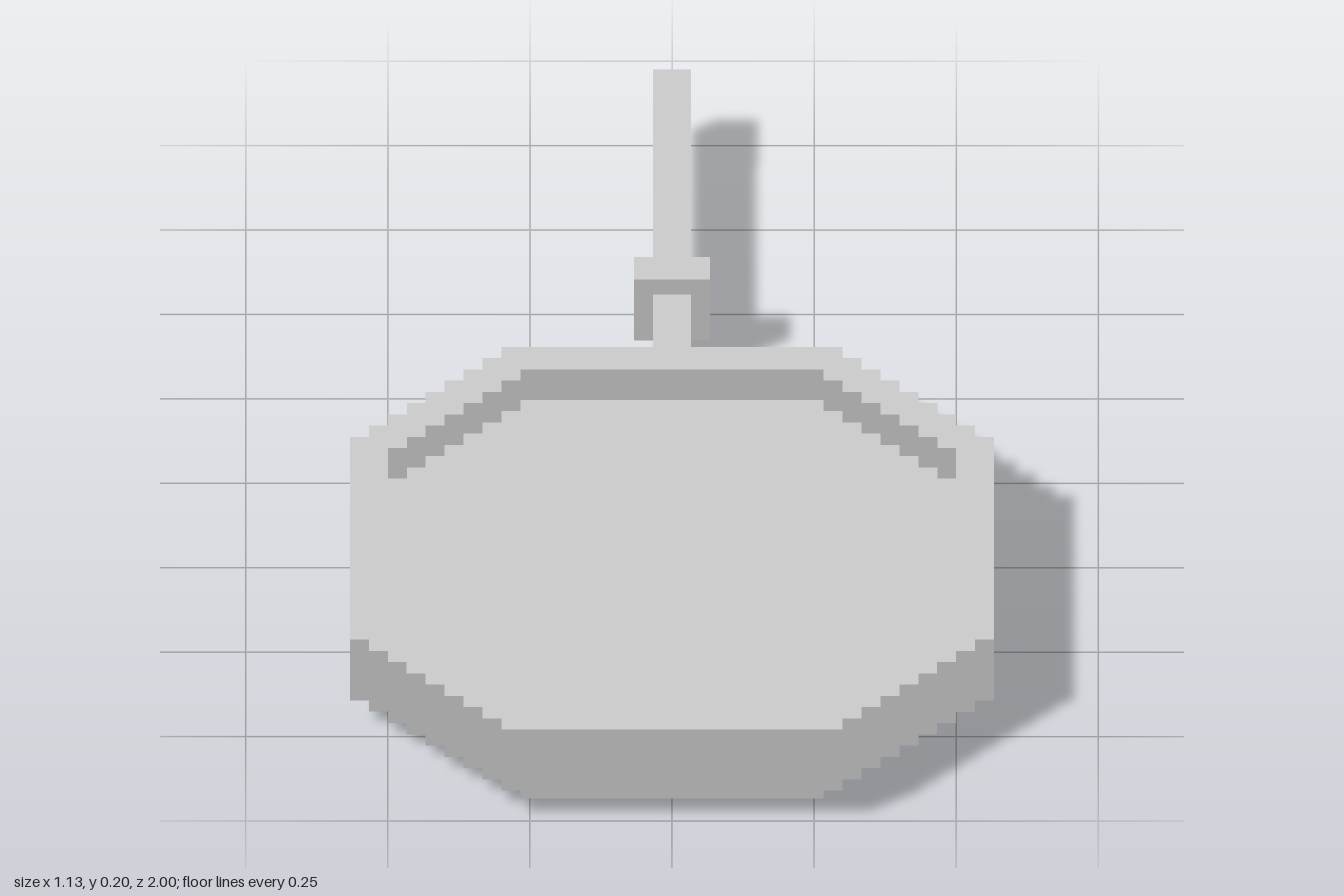
import * as THREE from 'three';

const U = 1 / 30; // one block
const PAN_Z = 13 * U; // centre of the pan

// Corners of an octagon whose diagonal sides are one-block stair steps
function steppedOctagon(radius, flat) {
  const points = [];
  for (let q = 0; q < 4; q++) {
    const turn = (x, y) => {
      for (let i = 0; i < q; i++) [x, y] = [-y, x];
      points.push(new THREE.Vector2(x * U, y * U));
    };
    for (let i = 0; i <= radius - flat; i++) {
      turn(radius - i, flat + i);
      if (i < radius - flat) turn(radius - i - 1, flat + i);
    }
  }
  return points;
}

export function createModel() {
  const group = new THREE.Group();
  const material = new THREE.MeshStandardMaterial({ color: 0xcccccc, flatShading: true });

  const add = (name, geometry, x, y, z) => {
    const mesh = new THREE.Mesh(geometry, material);
    mesh.name = name;
    mesh.position.set(x, y, z);
    group.add(mesh);
  };

  // Upright slab from a flat outline, between two heights in blocks
  const addSlab = (name, shape, bottom, top) => {
    const geometry = new THREE.ExtrudeGeometry(shape, { depth: (top - bottom) * U, bevelEnabled: false });
    geometry.rotateX(-Math.PI / 2);
    add(name, geometry, 0, bottom * U, PAN_Z);
  };

  // Box from its half width, height range and depth range in blocks
  const addBox = (name, half, y0, y1, z0, z1) => {
    const geometry = new THREE.BoxGeometry(2 * half * U, (y1 - y0) * U, (z1 - z0) * U);
    add(name, geometry, 0, (y0 + y1) / 2 * U, (z0 + z1) / 2 * U);
  };

  // Pan: solid base, and a wider raised rim around it
  addSlab('panBase', new THREE.Shape(steppedOctagon(15, 8)), 0, 4);
  const rim = new THREE.Shape(steppedOctagon(17, 9));
  rim.holes.push(new THREE.Path(steppedOctagon(15, 8)));
  addSlab('panRim', rim, 2, 6);

  // Handle with a square collar
  addBox('handle', 1, 3, 5, -30, -4);
  addBox('handleCollar', 2, 2, 6, -12, -10);

  return group;
}
